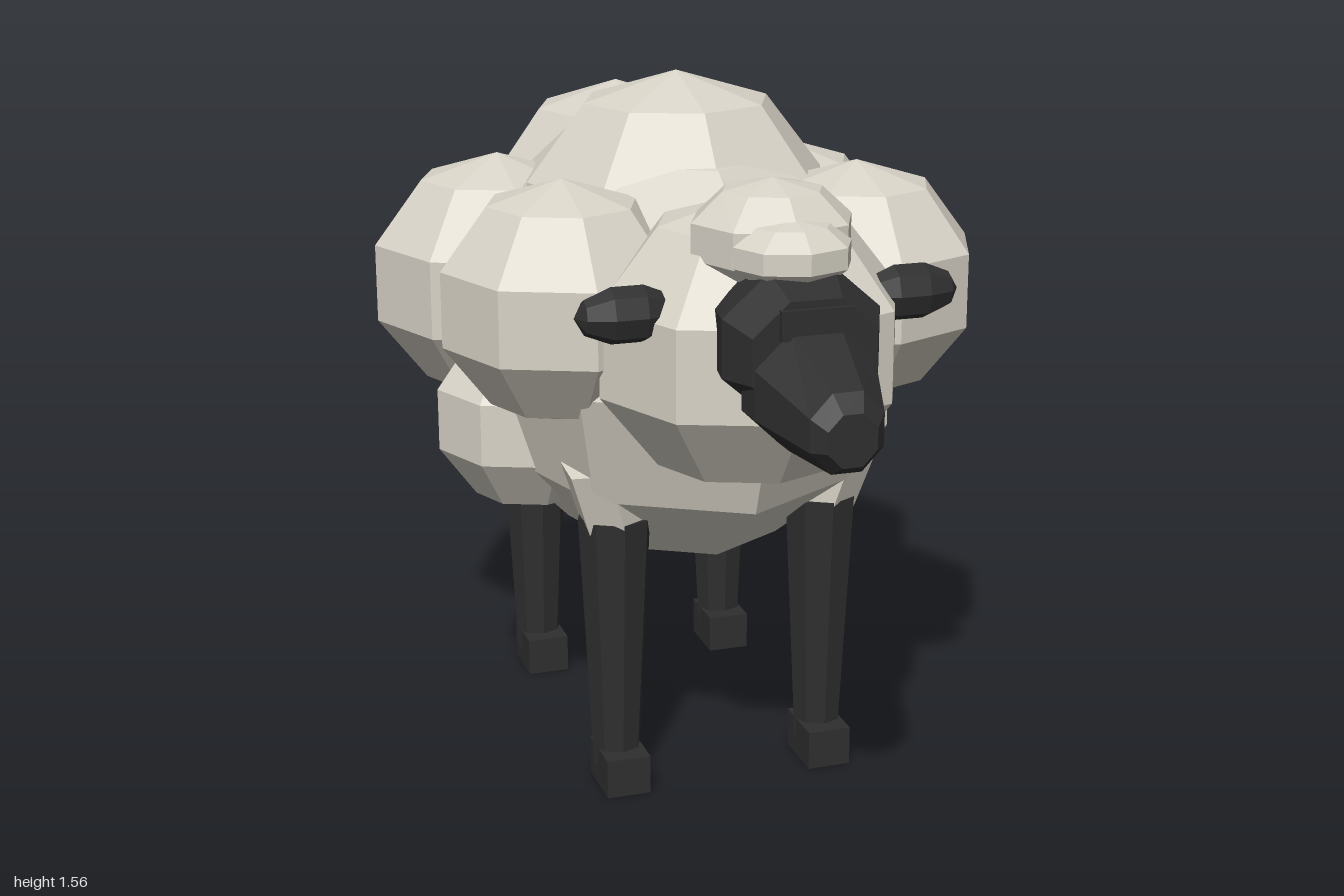
import * as THREE from 'three';

const wool = new THREE.MeshStandardMaterial({ color: 0xd8d3c7 });
wool.name = 'wool';
wool.flatShading = true;
const dark = new THREE.MeshStandardMaterial({ color: 0x2f2f2f });
dark.name = 'darkSkin';
dark.flatShading = true;

function add(parent, name, geometry, material, pos = [0, 0, 0], rot = [0, 0, 0]) {
  const mesh = new THREE.Mesh(geometry, material);
  mesh.name = name;
  mesh.position.set(...pos);
  mesh.rotation.set(...rot);
  parent.add(mesh);
  return mesh;
}

// Faceted ellipsoid with its poles up
function puff(rx, ry, rz, rows = 5) {
  return new THREE.SphereGeometry(1, 8, rows).scale(rx, ry, rz);
}

// Closed octagonal loft along z; stations are [z, halfWidth, top, bottom]
function loft(stations) {
  const n = 8, pos = [], index = [];
  for (const [z, w, top, bottom] of stations) {
    const h = (top - bottom) / 2, cy = (top + bottom) / 2;
    for (let i = 0; i < n; i++) {
      const a = ((i + 0.5) / n) * Math.PI * 2, k = 1 / Math.cos(Math.PI / n);
      pos.push(Math.cos(a) * w * k, cy + Math.sin(a) * h * k, z);
    }
  }
  for (let s = 0; s < stations.length - 1; s++) {
    for (let i = 0; i < n; i++) {
      const a = s * n + i, b = s * n + ((i + 1) % n);
      index.push(a, b, b + n, a, b + n, a + n);
    }
  }
  const last = (stations.length - 1) * n;
  for (let i = 1; i < n - 1; i++) {
    index.push(0, i + 1, i, last, last + i, last + i + 1);
  }
  const g = new THREE.BufferGeometry();
  g.setAttribute('position', new THREE.Float32BufferAttribute(pos, 3));
  g.setIndex(index);
  g.computeVertexNormals();
  return g;
}

export function createModel() {
  const sheep = new THREE.Group();
  sheep.name = 'sheep';

  // Body and wool along the middle
  add(sheep, 'belly', puff(0.5, 0.505, 0.7, 6), wool, [0, 0.95, -0.14]);
  add(sheep, 'backPuff', puff(0.365, 0.34, 0.35), wool, [0, 1.22, -0.09]);
  add(sheep, 'rumpPuff', puff(0.33, 0.33, 0.335), wool, [0, 1.135, -0.575]);
  add(sheep, 'chestPuff', puff(0.345, 0.315, 0.325), wool, [0, 1.07, 0.42]);
  add(sheep, 'topknot', puff(0.18, 0.12, 0.165), wool, [0, 1.32, 0.545]);
  add(sheep, 'forelock', puff(0.13, 0.07, 0.11), wool, [0, 1.31, 0.665]);
  add(sheep, 'tail', puff(0.145, 0.195, 0.115), wool, [0, 0.97, -0.883], [-0.2, 0, 0]);

  // Head and muzzle
  add(sheep, 'head', loft([
    [0.5, 0.13, 1.28, 1.02], [0.72, 0.165, 1.29, 1.0], [0.8, 0.13, 1.25, 1.02],
  ]), dark);
  add(sheep, 'muzzle', loft([
    [0.74, 0.13, 1.2, 0.95], [0.8, 0.125, 1.19, 0.95],
    [0.97, 0.075, 1.115, 0.955], [1.0, 0.05, 1.08, 0.975],
  ]), dark);
  add(sheep, 'brow', new THREE.BoxGeometry(0.15, 0.06, 0.03), dark, [0, 1.205, 0.798]);

  for (const side of [1, -1]) {
    const label = side > 0 ? 'left' : 'right';

    // Wool on the flanks
    add(sheep, label + 'ShoulderPuff', puff(0.28, 0.267, 0.288), wool, [side * 0.335, 1.118, 0.165]);
    add(sheep, label + 'HipPuff', puff(0.31, 0.292, 0.305), wool, [side * 0.345, 1.048, -0.385]);
    add(sheep, label + 'FlankPuff', puff(0.23, 0.23, 0.226), wool, [side * 0.335, 0.78, -0.14]);

    // Ear lying sideways
    const ear = new THREE.SphereGeometry(1, 8, 5).rotateZ(-Math.PI / 2).scale(0.11, 0.062, 0.05);
    add(sheep, label + 'Ear', ear, dark, [side * 0.303, 1.18, 0.54]);

    // Legs with wool at the top and a hoof pointing forward
    for (const [place, z] of [['Front', 0.22], ['Back', -0.495]]) {
      const leg = new THREE.Group();
      leg.name = label + place + 'Leg';
      leg.position.set(side * 0.242, 0, z);
      add(leg, 'shank', new THREE.CylinderGeometry(0.083, 0.053, 0.6, 8), dark, [0, 0.34, 0]);
      add(leg, 'legWool', new THREE.CylinderGeometry(0.09, 0.08, 0.15, 6), wool,
        [side * 0.018, 0.705, 0.01], [0.12, 0, side * -0.25]);
      add(leg, 'hoof', new THREE.BoxGeometry(0.1, 0.09, 0.14), dark, [-side * 0.002, 0.045, 0.022]);
      sheep.add(leg);
    }
  }
  return sheep;
}
